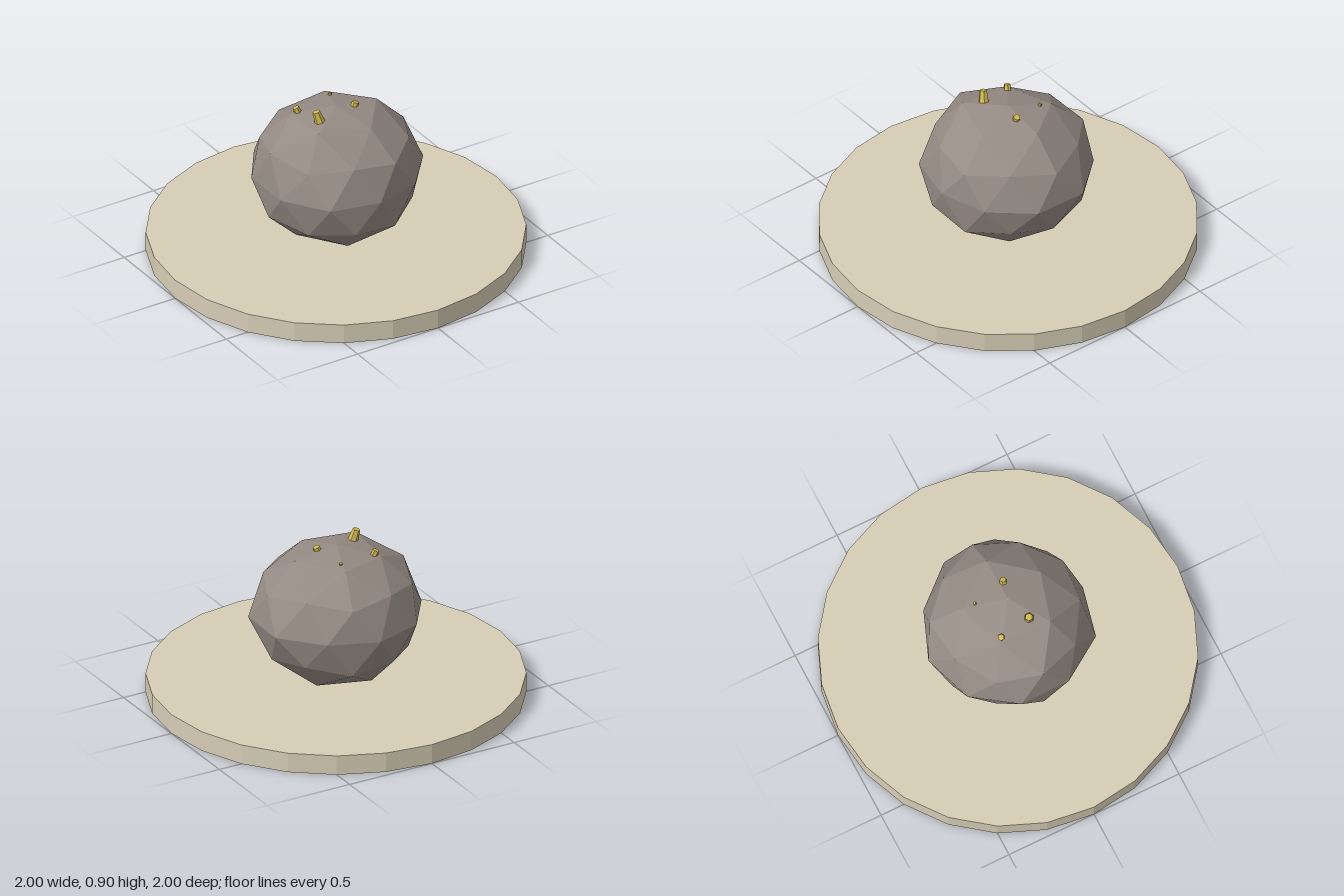
import * as THREE from 'three';

// Radial scale of each boulder vertex, ring by ring, counted from +x toward +z.
const RINGS = {
  topCap: [1.06, 1.01, 1.06, 1.0, 1.02],
  upper: [1.04, 1.0, 1.01, 1.0, 0.99, 1.07, 1.0, 1.02, 1.04, 1.0],
  equator: [1.05, 1.0, 0.98, 1.04, 1.01, 1.02, 1.03, 1.04, 1.0, 1.06],
  lower: [1.02, 1.0, 1.05, 1.05, 1.03, 1.04, 1.0, 1.02, 1.05, 1.0],
  bottomCap: [1.05, 1.06, 1.05, 1.06, 1.06],
};

function vertexScale(v) {
  const turn = ((Math.atan2(v.z, v.x) * 180) / Math.PI + 360) % 360;
  const at = (start, step, ring) => ring[Math.round((turn - start + 360) / step) % ring.length];
  if (Math.abs(v.y) > 0.95) return 1;
  if (v.y > 0.7) return at(0, 72, RINGS.topCap);
  if (v.y > 0.2) return at(0, 36, RINGS.upper);
  if (v.y > -0.2) return at(18, 36, RINGS.equator);
  if (v.y > -0.7) return at(0, 36, RINGS.lower);
  return at(36, 72, RINGS.bottomCap);
}

// Faceted ball standing on one corner, pushed in and out slightly.
function boulderGeometry() {
  const geo = new THREE.IcosahedronGeometry(1, 1);
  geo.rotateZ(-Math.atan(2 / (1 + Math.sqrt(5))));
  const pos = geo.attributes.position;
  const v = new THREE.Vector3();
  for (let i = 0; i < pos.count; i++) {
    v.fromBufferAttribute(pos, i);
    const s = vertexScale(v);
    pos.setXYZ(i, v.x * 0.45 * s, v.y * 0.375 * s, v.z * 0.45 * s);
  }
  geo.computeVertexNormals();
  return geo;
}

export function createModel() {
  const model = new THREE.Group();
  const sand = new THREE.MeshStandardMaterial({ color: 0xd6cdb5, flatShading: true });
  sand.name = 'sand';
  const stone = new THREE.MeshStandardMaterial({ color: 0x958b84, flatShading: true });
  stone.name = 'stone';
  const gold = new THREE.MeshStandardMaterial({ color: 0xd2ba52, flatShading: true });
  gold.name = 'gold';

  const add = (name, geo, mat) => {
    const mesh = new THREE.Mesh(geo, mat);
    mesh.name = name;
    model.add(mesh);
    return mesh;
  };

  // Round base
  add('base', new THREE.CylinderGeometry(1, 1, 0.11, 24), sand).position.y = 0.055;

  // Boulder
  add('boulder', boulderGeometry(), stone).position.y = 0.485;

  // Small tapered stubs: foot, tip, foot radius, tip radius
  const stubs = [
    [[-0.125, 0.79, 0.062], [-0.152, 0.892, 0.046], 0.033, 0.02],
    [[0.085, 0.8, 0.018], [0.107, 0.86, 0.024], 0.023, 0.019],
    [[-0.15, 0.78, -0.115], [-0.17, 0.838, -0.127], 0.021, 0.018],
    [[0.06, 0.79, -0.15], [0.066, 0.836, -0.165], 0.012, 0.008],
  ];
  const up = new THREE.Vector3(0, 1, 0);
  stubs.forEach(([foot, tip, footRadius, tipRadius], i) => {
    const a = new THREE.Vector3(...foot);
    const b = new THREE.Vector3(...tip);
    const axis = b.clone().sub(a);
    const stub = add(`stub${i + 1}`, new THREE.CylinderGeometry(tipRadius, footRadius, axis.length(), 6), gold);
    stub.position.copy(a).add(b).multiplyScalar(0.5);
    stub.quaternion.setFromUnitVectors(up, axis.normalize());
  });
  return model;
}
